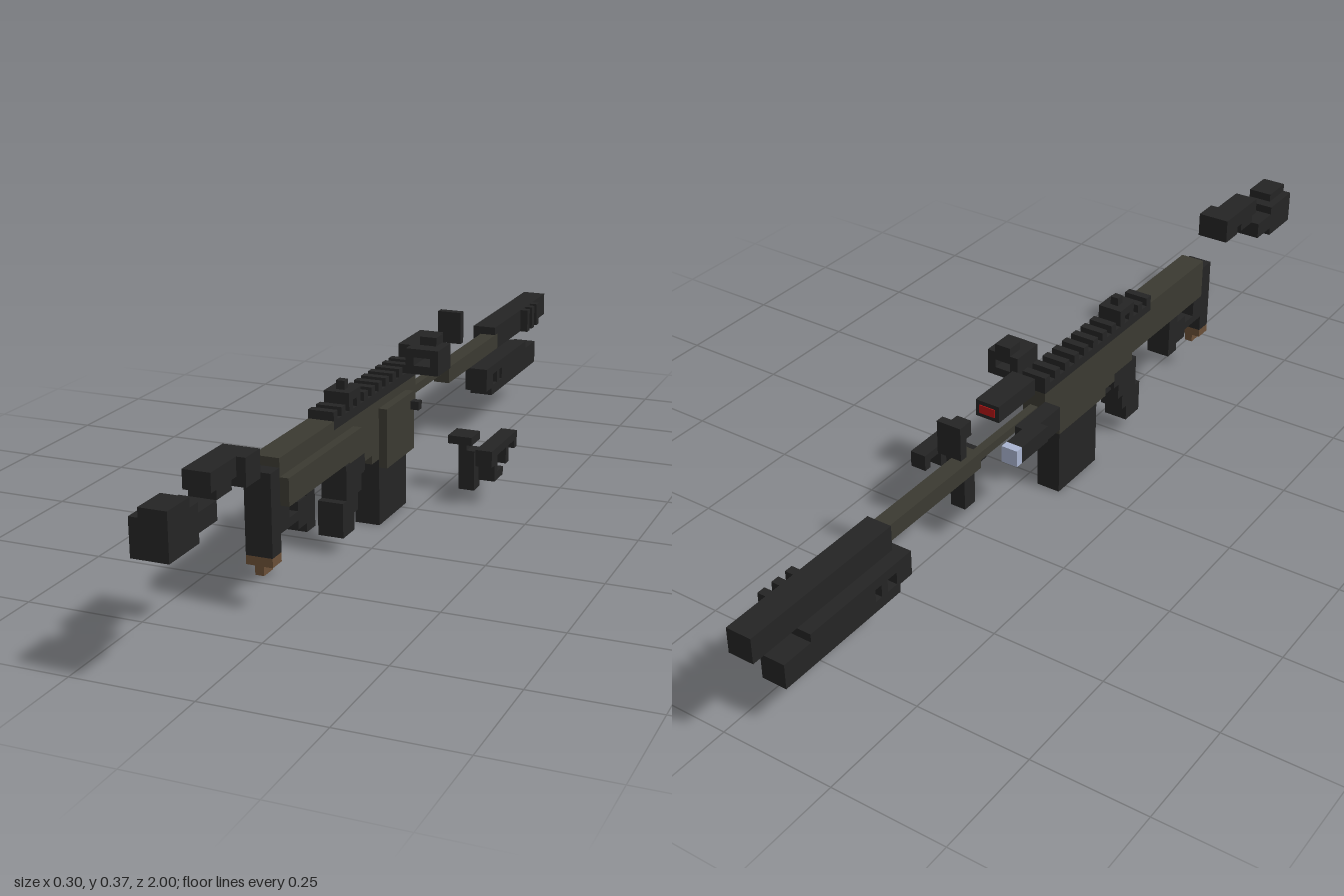
import * as THREE from 'three';

const U = 2 / 107; // size of one block
const mat = (name, color) => new THREE.MeshStandardMaterial({ name, color });

export function createModel() {
  const dark = mat('dark metal', 0x242424);
  const olive = mat('olive metal', 0x3b3a31);
  const brown = mat('brown leather', 0x6a4f37);
  const red = mat('red lens', 0xb01515);
  const pale = mat('pale lens', 0xa9b4d0);

  const model = new THREE.Group();
  model.name = 'blockRifleSet';

  // Builds a named group of boxes given as [x0, x1, y0, y1, z0, z1] in blocks
  function part(name, material, boxes) {
    const group = new THREE.Group();
    group.name = name;
    for (const [x0, x1, y0, y1, z0, z1] of boxes) {
      const geo = new THREE.BoxGeometry((x1 - x0) * U, (y1 - y0) * U, (z1 - z0) * U);
      const mesh = new THREE.Mesh(geo, material);
      mesh.name = name + 'Block';
      mesh.position.set((x0 + x1) / 2 * U, (y0 + y1) / 2 * U, (z0 + z1) / 2 * U);
      group.add(mesh);
    }
    model.add(group);
  }
  // Same, for parts of the standard three-block width: [y0, y1, z0, z1]
  const slab = (name, material, boxes) => part(name, material, boxes.map(b => [-5, -2, ...b]));

  // Receiver and stock
  slab('receiver', olive, [[11, 15, -4.5, 31.5], [15, 16, 18.5, 31.5], [10, 11, -2.5, 14.5]]);
  part('sidePlate', olive, [[-2, -1, 11, 14, 13.5, 31.5]]);
  slab('magazineWell', olive, [[8, 10, -1.5, 8.5], [9, 10, -2.5, 10.5]]);
  part('magazineWellPlate', olive, [[-2, -1, 7, 14, -1.5, 6.5]]);
  part('chargingHandle', dark, [[-1, 0, 12, 13, -1.5, -0.5]]);
  slab('buttPad', dark, [[6, 15, 31.5, 33.5]]);
  part('buttFoot', brown, [[-5, -2, 5, 6, 31.5, 33.5], [-4, -3, 4, 5, 31.5, 33.5]]);
  slab('stockStrut', dark, [[9, 11, 29.5, 31.5], [8, 9, 26.5, 31.5], [7, 10, 25.5, 27.5], [6, 11, 23.5, 25.5]]);
  part('cheekStrap', brown, [[-4, -3, 10, 11, 20.5, 22.5]]);

  // Grip, trigger and magazine
  slab('grip', dark, [[8, 10, 10.5, 15.5], [6, 8, 11.5, 15.5], [4, 6, 12.5, 16.5], [2, 4, 13.5, 16.5]]);
  part('triggerGuard', dark, [[-4, -3, 7, 8, 8.5, 11.5], [-4, -3, 8, 10, 8.5, 9.5]]);
  slab('magazine', dark, [[0, 8, -1.5, 6.5]]);

  // Toothed top rail with rear sight
  const teeth = [];
  for (let z = 17.5; z >= -4.5; z -= 2) teeth.push([16, 17, z, z + 1]);
  slab('topRail', dark, [[15, 16, -4.5, 18.5], ...teeth]);
  slab('rearSight', dark, [[17, 18, 11.5, 14.5]]);
  part('rearSightPost', dark, [[-4, -3, 18, 19, 12.5, 13.5]]);

  // Barrel, long muzzle tube with ribs
  part('barrel', olive, [[-4, -3, 12, 13, -15.5, -4.5], [-4, -2, 11, 13, -33.5, -15.5]]);
  slab('suppressor', dark, [[11, 14, -53.5, -32.5]]);
  part('suppressorRibs', dark, [-43.5, -45.5, -47.5].map(z => [-2, -1, 11, 14, z - 0.5, z + 0.5]));

  // Spare muzzle device with side slots
  slab('muzzleBrake', dark, [
    [7.8, 9, -36, -29.5], [5, 6.3, -36, -31.5], [6, 9, -31, -29.5], [6, 8, -32, -31],
    [6, 8, -34.5, -33.5], [5, 9, -45.5, -35.5], [5, 8, -49.5, -45.5],
  ]);

  // Hollow reflex sight
  part('reflexSight', dark, [
    [-2, 2, 16, 17, -5.5, -1.5], [-2, 2, 18, 19, -5.5, -1.5],
    [-2, -1, 17, 18, -5.5, -1.5], [1, 2, 17, 18, -5.5, -1.5],
    [-1, 1, 19, 20, -5.5, -3.5],
  ]);

  // Laser and lamp attachments
  slab('laser', dark, [[16, 18, -13.5, -6.5]]);
  part('laserLens', red, [[-4.5, -2.5, 16.5, 17.5, -13.6, -13.5]]);
  part('lamp', dark, [[-8, -6, 12, 14, -13.5, -8.5], [-7, -5, 11, 14, -10.5, -4.5]]);
  part('lampLens', pale, [[-8, -6, 12, 14, -14.5, -13.5]]);

  // Front sight plate
  slab('frontSightPlate', dark, [[15, 19, -20.5, -19.5]]);

  // Upright and angled foregrips
  part('uprightForegrip', dark, [[1, 4, 6, 7, -10.5, -7.5], [2, 3, 5, 6, -10.5, -8.5], [2, 4, 0, 5, -10.5, -8.5]]);
  part('angledForegrip', dark, [
    [6, 8, 6, 7, -12.5, -3.5], [6, 8, 5, 6, -12.5, -11.5], [6, 8, 5, 6, -5.5, -3.5],
    [6, 8, 3, 5, -5.5, -4.5], [6, 8, 3, 4, -7.5, -5.5], [6, 8, 4, 6, -9.5, -8.5],
  ]);

  // Scope pieces behind the stock
  part('scopeRear', dark, [
    [-6, -2, 13, 17, 49.5, 53.5], [-5, -2, 17, 18, 49.5, 53.5],
    [-6, -2, 13, 17, 48, 49.5], [-6, -2, 14, 16, 44.5, 48],
  ]);
  part('scopeFront', dark, [
    [-5, -2, 17, 19, 37.5, 45.5], [-5, -2, 16, 17, 41.5, 44.5],
    [-5, -1, 16, 17, 37.5, 40.5], [-2, -1, 17, 19, 37.5, 40.5],
  ]);

  return model;
}
